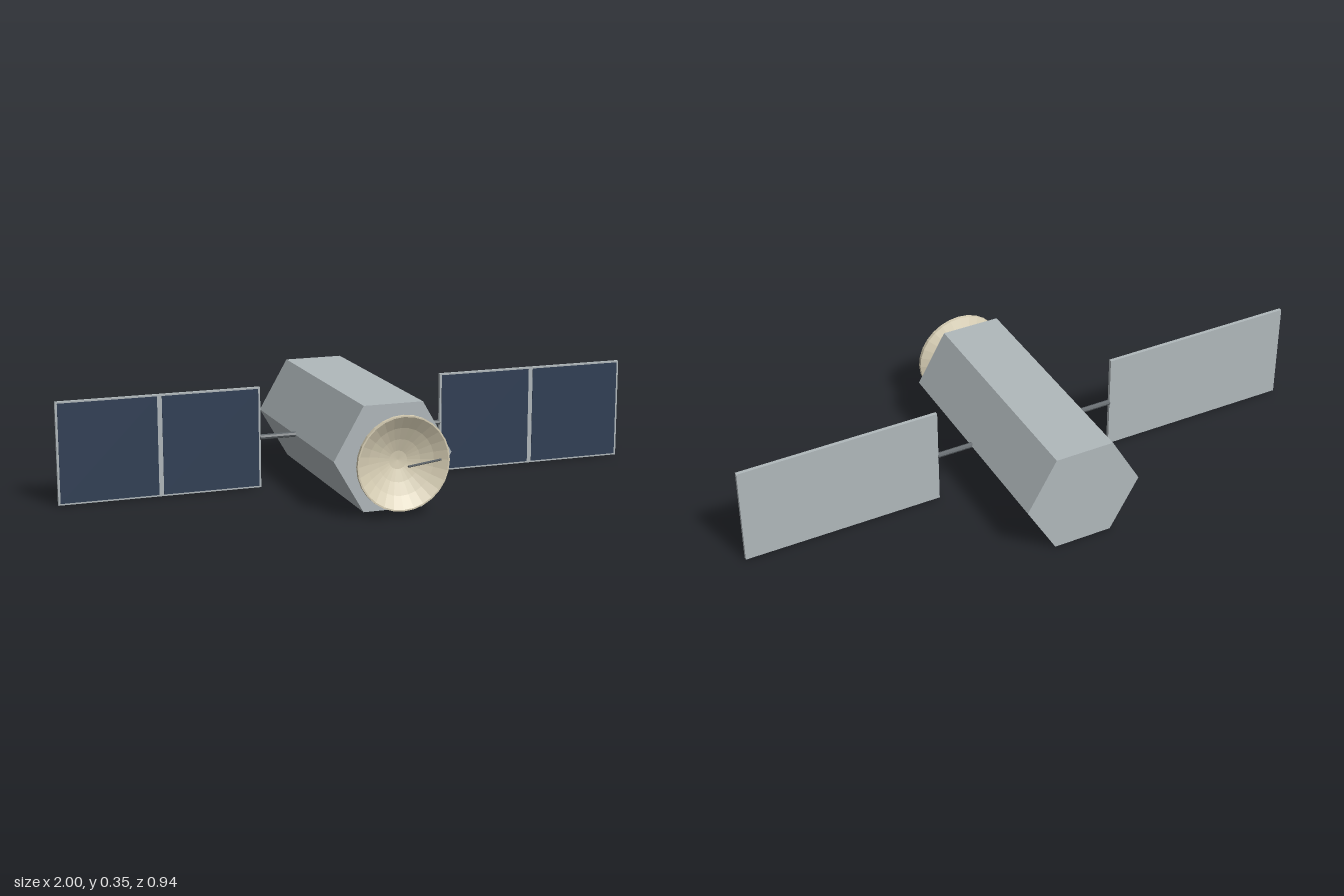
import * as THREE from 'three';

const MID = 0.173;      // height of the long axis
const WING_Z = -0.0667; // plane of the solar wings

export function createModel() {
  const model = new THREE.Group();
  model.name = 'satellite';

  const make = (name, color, extra = {}) => {
    const m = new THREE.MeshStandardMaterial({ color, flatShading: true, ...extra });
    m.name = name;
    return m;
  };
  const hullGrey = make('hull grey', 0xb0b8bb);
  const cellBlue = make('cell navy', 0x2f3e54);
  const dishCream = make('dish cream', 0xd8cfb5, { side: THREE.DoubleSide });
  const strutGrey = make('strut dark grey', 0x5c6266);

  const add = (parent, name, geometry, material, x = 0, y = 0, z = 0) => {
    const mesh = new THREE.Mesh(geometry, material);
    mesh.name = name;
    mesh.position.set(x, y, z);
    parent.add(mesh);
    return mesh;
  };

  // Thin rod between two points
  const rod = (parent, name, a, b, radius, sides, material) => {
    const dir = b.clone().sub(a);
    const mesh = add(parent, name, new THREE.CylinderGeometry(radius, radius, dir.length(), sides), material);
    mesh.position.copy(a).add(b).multiplyScalar(0.5);
    mesh.quaternion.setFromUnitVectors(new THREE.Vector3(0, 1, 0), dir.normalize());
    return mesh;
  };

  // Hexagonal body, corners pointing left and right
  const hull = new THREE.CylinderGeometry(0.2, 0.2, 0.8, 6);
  hull.rotateY(Math.PI / 6).rotateX(Math.PI / 2);
  // flat faces must end up on top and bottom
  add(model, 'body', hull, hullGrey, 0, MID, -0.067);

  // Solar wings with two cell fields each
  for (const side of [1, -1]) {
    const wing = new THREE.Group();
    wing.name = side > 0 ? 'leftWing' : 'rightWing';
    model.add(wing);
    rod(wing, 'boom', new THREE.Vector3(side * 0.165, MID, WING_Z),
      new THREE.Vector3(side * 0.322, MID, WING_Z), 0.009, 8, strutGrey);
    add(wing, 'panelFrame', new THREE.BoxGeometry(0.68, 0.341, 0.012), hullGrey, side * 0.66, MID, WING_Z);
    for (const offset of [-0.1705, 0.1705]) {
      add(wing, 'solarCells', new THREE.BoxGeometry(0.325, 0.33, 0.002), cellBlue,
        side * 0.66 + offset, MID, WING_Z + 0.0065);
    }
  }

  // Dish: straight cone behind, rim band, curved bowl in front
  const profile = [
    [0, 0.347], [0.155, 0.416], [0.155, 0.428], [0.15, 0.428],
    [0.11, 0.404], [0.07, 0.387], [0.03, 0.375], [0, 0.372],
  ].map(([r, z]) => new THREE.Vector2(r, z));
  const dish = new THREE.LatheGeometry(profile, 28);
  dish.rotateX(Math.PI / 2);
  add(model, 'dish', dish, dishCream, 0, MID, 0);

  // Slanted feed arm from the bowl to the focus
  rod(model, 'feedArm', new THREE.Vector3(0.13, MID, 0.415),
    new THREE.Vector3(0, MID, 0.465), 0.0035, 6, strutGrey);

  return model;
}
